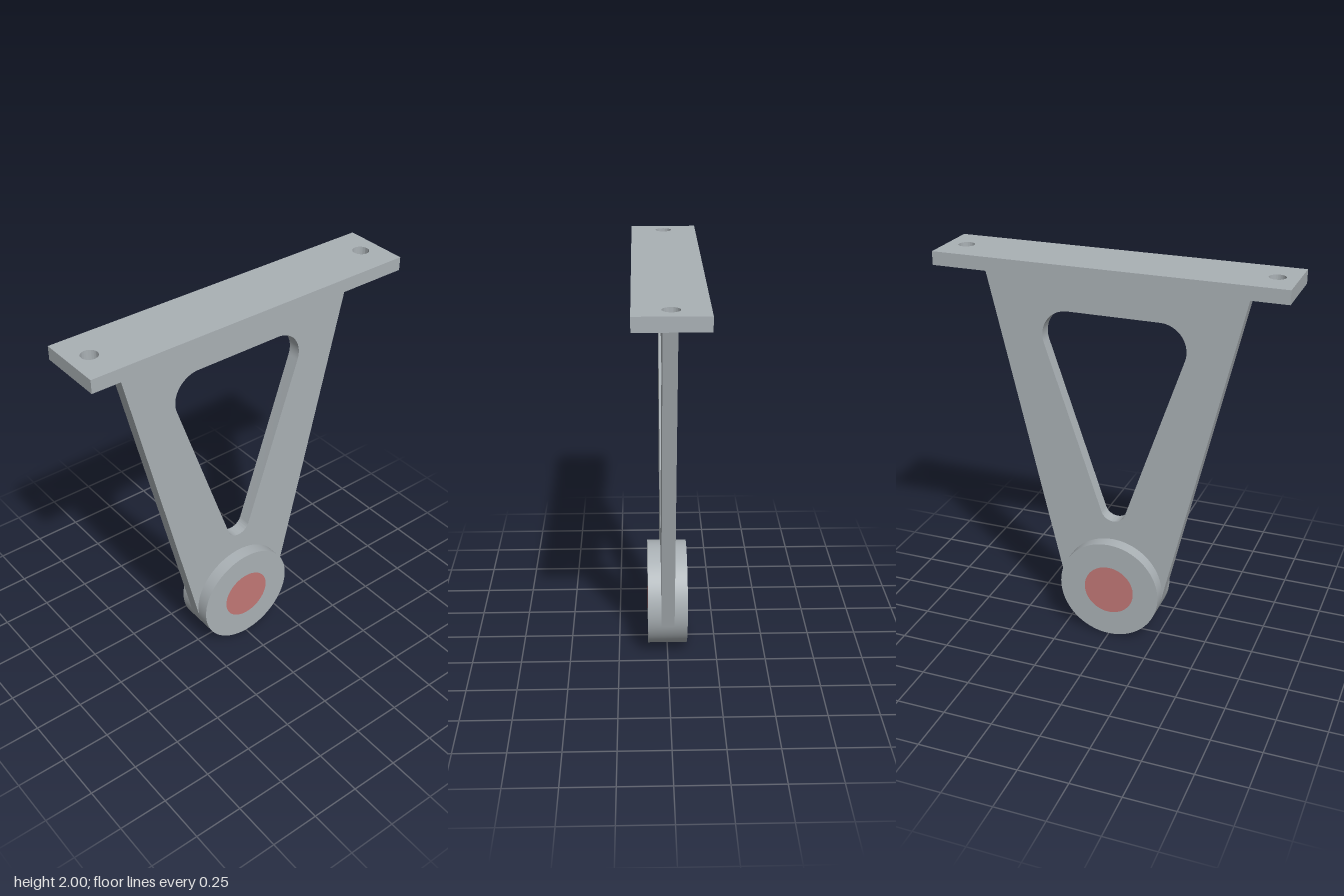
import * as THREE from 'three';
import { toCreasedNormals } from 'three/addons/utils/BufferGeometryUtils.js';

const HUB_Y = 0.267, HUB_R = 0.267, PIN_R = 0.133, HUB_DEPTH = 0.2;
const PLATE_T = 0.067, WEB_T = 0.067, WEB_TOP = 2 - PLATE_T;

// Extrudes a shape centred on its own depth axis, smooth on curves and sharp at edges
function slab(shape, depth) {
  const geo = new THREE.ExtrudeGeometry(shape, { depth, bevelEnabled: false, curveSegments: 48 });
  geo.translate(0, 0, -depth / 2);
  return toCreasedNormals(geo, 0.5);
}

function circle(x, y, r) {
  return new THREE.Path().absarc(x, y, r, 0, Math.PI * 2, false);
}

// Tapered frame around a rounded triangular window. Each outer corner
// is joined to the arc of the window that faces it, going round anticlockwise.
function webGeometry() {
  const a = THREE.MathUtils.degToRad(18.7), down = Math.PI * 1.5, segments = 24;
  const corners = [
    { outer: [0.667, WEB_TOP], centre: [0.233, 1.6], r: 0.133, from: -a, to: Math.PI / 2 },
    { outer: [-0.667, WEB_TOP], centre: [-0.233, 1.6], r: 0.133, from: Math.PI / 2, to: Math.PI + a },
    { outer: [-0.26, 0.206], centre: [0, 0.705], r: 0.067, from: Math.PI + a, to: down },
    { outer: [0.26, 0.206], centre: [0, 0.705], r: 0.067, from: down, to: Math.PI * 2 - a },
  ];

  // Cross-sections of the frame: outer front, inner front, inner back, outer back
  const sections = [];
  const h = WEB_T / 2;
  for (const { outer: [ox, oy], centre: [cx, cy], r, from, to } of corners) {
    for (let i = 0; i <= segments; i++) {
      const t = THREE.MathUtils.lerp(from, to, i / segments);
      const x = cx + r * Math.cos(t), y = cy + r * Math.sin(t);
      sections.push([[ox, oy, h], [x, y, h], [x, y, -h], [ox, oy, -h]]
        .map((p) => new THREE.Vector3(...p)));
    }
  }

  // Skin between neighbouring sections, leaving out empty triangles
  const points = [];
  const addTriangle = (...tri) => {
    if (new THREE.Triangle(...tri).getArea() > 1e-8) points.push(...tri);
  };
  sections.forEach((s, i) => {
    const next = sections[(i + 1) % sections.length];
    for (let k = 0; k < 4; k++) {
      const m = (k + 1) % 4;
      addTriangle(s[k], next[k], next[m]);
      addTriangle(s[k], next[m], s[m]);
    }
  });
  return toCreasedNormals(new THREE.BufferGeometry().setFromPoints(points), 0.5);
}

export function createModel() {
  const model = new THREE.Group();
  model.name = 'bracket';
  const steel = new THREE.MeshStandardMaterial({ color: 0xaab1b5 });
  steel.name = 'steel grey';
  const red = new THREE.MeshStandardMaterial({ color: 0xc27876 });
  red.name = 'dull red';

  const add = (name, geo, material) => {
    const mesh = new THREE.Mesh(geo, material);
    mesh.name = name;
    model.add(mesh);
    return mesh;
  };

  // Mounting plate with a bolt hole at each end
  const plate = new THREE.Shape([[-0.867, -0.167], [0.867, -0.167], [0.867, 0.167], [-0.867, 0.167]]
    .map(([x, y]) => new THREE.Vector2(x, y)));
  for (const side of [-1, 1]) plate.holes.push(circle(side * 0.767, 0, 0.04));
  const plateMesh = add('mountingPlate', slab(plate, PLATE_T), steel);
  plateMesh.rotation.x = -Math.PI / 2;
  plateMesh.position.y = 2 - PLATE_T / 2;

  // Web, its sides tangent to the hub
  add('web', webGeometry(), steel);

  // Hub, with a flush pin through it
  const hub = new THREE.Shape();
  hub.absarc(0, 0, HUB_R, 0, Math.PI * 2, false);
  hub.holes.push(circle(0, 0, PIN_R));
  add('hub', slab(hub, HUB_DEPTH), steel).position.y = HUB_Y;

  const pin = new THREE.CylinderGeometry(PIN_R, PIN_R, HUB_DEPTH, 96).rotateX(Math.PI / 2);
  add('pin', pin, red).position.y = HUB_Y;

  return model;
}
